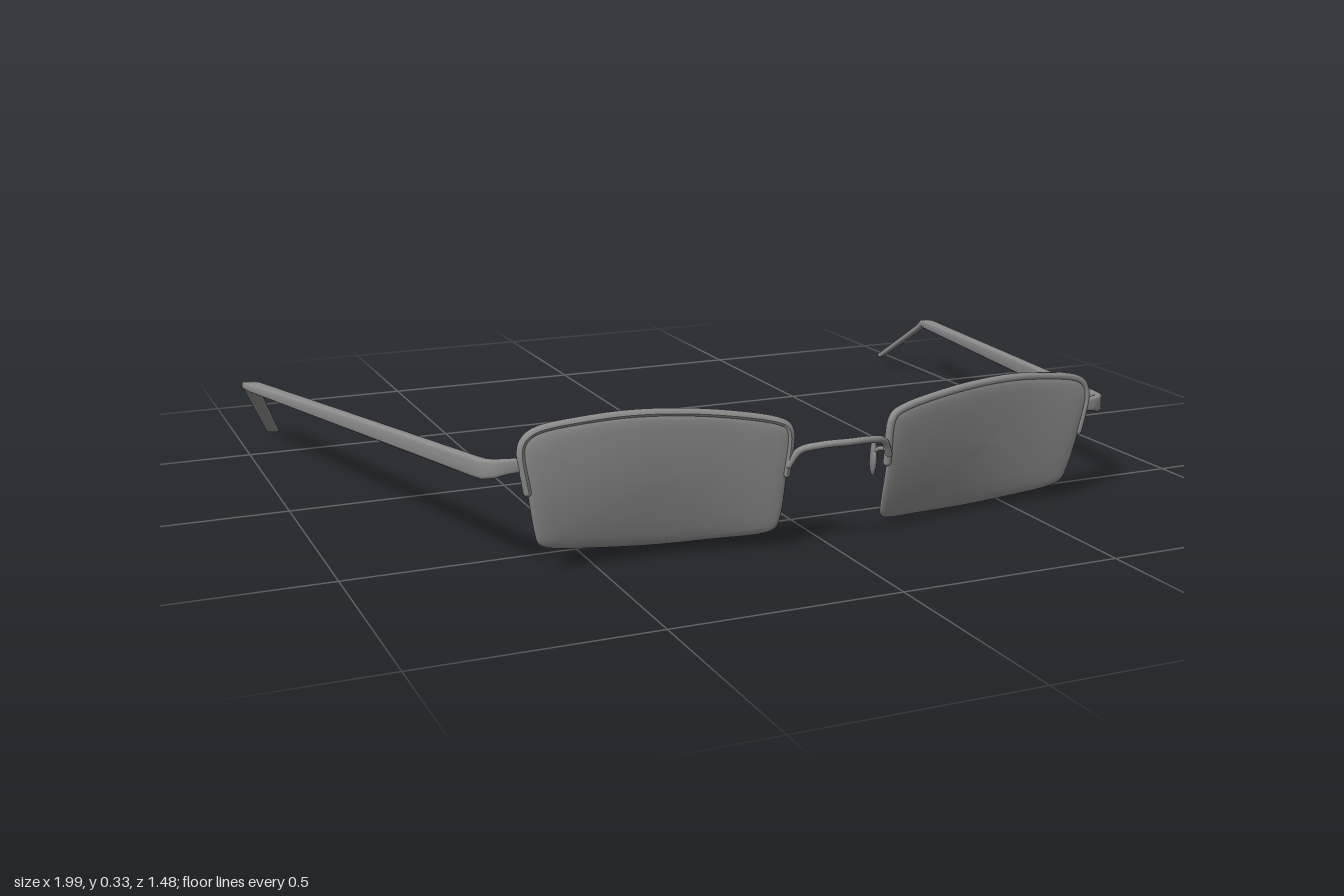
import * as THREE from 'three';
import { mergeGeometries } from 'three/addons/utils/BufferGeometryUtils.js';

const V = (x, y, z) => new THREE.Vector3(x, y, z);
const darkGrey = new THREE.MeshStandardMaterial({ color: 0x8c8c8c });

// Skin a list of equal-length closed rings, counter-clockwise about the sweep direction
function loft(rings) {
  const n = rings[0].length, pos = [], index = [];
  rings.forEach((ring) => ring.forEach((p) => pos.push(p.x, p.y, p.z)));
  for (let i = 0; i < rings.length - 1; i++) {
    for (let j = 0; j < n; j++) {
      const k = (j + 1) % n;
      const a = i * n + j, b = i * n + k, c = a + n, d = b + n;
      index.push(a, b, c, b, d, c);
    }
  }
  const g = new THREE.BufferGeometry();
  g.setAttribute('position', new THREE.Float32BufferAttribute(pos, 3));
  g.setIndex(index);
  g.computeVertexNormals();
  return g;
}

// Mirror across x = 0, keeping faces outward
function mirrored(geometry) {
  const g = geometry.clone().scale(-1, 1, 1);
  const idx = g.index.array;
  for (let i = 0; i < idx.length; i += 3) [idx[i], idx[i + 1]] = [idx[i + 1], idx[i]];
  g.computeVertexNormals();
  return g;
}

// Round wire with closed ends
function wire(points, radius, segments) {
  const curve = new THREE.CatmullRomCurve3(points);
  const ends = [points[0], points[points.length - 1]].map((p) =>
    new THREE.SphereGeometry(radius, 10, 8).translate(p.x, p.y, p.z));
  return mergeGeometries([new THREE.TubeGeometry(curve, segments, radius, 10), ...ends]);
}

// Sweep a soft-cornered bar; stations are [point, halfWidth, halfHeight]
function bar(stations) {
  const rings = stations.map(([p, hw, hh], i) => {
    const prev = stations[Math.max(i - 1, 0)][0];
    const next = stations[Math.min(i + 1, stations.length - 1)][0];
    const dir = next.clone().sub(p).normalize().add(p.clone().sub(prev).normalize()).normalize();
    const side = V(0, 1, 0).cross(dir).normalize();
    const up = dir.clone().cross(side);
    return Array.from({ length: 16 }, (_, j) => {
      const a = (j / 16) * Math.PI * 2, c = Math.cos(a), s = Math.sin(a);
      return p.clone()
        .addScaledVector(side, hw * Math.sign(c) * Math.sqrt(Math.abs(c)))
        .addScaledVector(up, hh * Math.sign(s) * Math.sqrt(Math.abs(s)));
    });
  });
  const cap = (p) => Array.from({ length: 16 }, () => p.clone());
  return loft([cap(stations[0][0]), ...rings, cap(stations[stations.length - 1][0])]);
}

// Lens outline, starting halfway up the outer side and running over the top
const outline = new THREE.CatmullRomCurve3([
  [0.66, 0.17], [0.674, 0.256], [0.667, 0.277], [0.645, 0.294], [0.54, 0.312],
  [0.43, 0.319], [0.29, 0.311], [0.15, 0.287], [0.127, 0.276], [0.119, 0.259],
  [0.12, 0.17], [0.122, 0.062], [0.128, 0.043], [0.148, 0.032], [0.25, 0.022],
  [0.37, 0.018], [0.5, 0.027], [0.61, 0.043], [0.632, 0.055], [0.641, 0.077],
].map(([x, y]) => V(x, y, 0)), true);

// Depth of the wrapped, tilted lens surface
function lensDepth(x, y) {
  const u = THREE.MathUtils.clamp((x - 0.12) / 0.555, 0, 1);
  const t = THREE.MathUtils.clamp((y - 0.018) / 0.301, 0, 1);
  const tilt = 0.05 * (1 - u) + 0.02 * u + 0.036 * Math.sin(Math.PI * Math.pow(u, 0.85));
  return 0.698 - 0.083 * u - tilt * (1 - t) + 0.04 * t * (1 - t);
}

// Pillow-edged lens, built from shrinking copies of the outline
function lensGeometry() {
  const edge = outline.getPoints(120).slice(0, -1);
  const half = [
    [0, 0.011], [0.2, 0.011], [0.4, 0.011], [0.6, 0.011], [0.8, 0.0105],
    [0.9, 0.0095], [0.96, 0.0075], [0.99, 0.0045], [1, 0.0015],
  ];
  const profile = [...half.map(([s, d]) => [s, -d]), ...half.slice().reverse()];
  return loft(profile.map(([s, d]) => edge.map((p) => {
    const x = 0.395 + (p.x - 0.395) * s, y = 0.17 + (p.y - 0.17) * s;
    return V(x, y, lensDepth(x, y) + d);
  })));
}

// Half rim following the upper part of the lens edge
function rimGeometry() {
  const pts = Array.from({ length: 61 }, (_, i) => {
    const p = outline.getPoint((i / 60) * 0.5);
    return V(p.x, p.y, lensDepth(p.x, p.y));
  });
  return wire(pts, 0.009, 120);
}

function nosePadGeometry() {
  const pad = new THREE.SphereGeometry(1, 20, 14).scale(0.008, 0.045, 0.034);
  return pad.rotateX(0.45).rotateY(-0.42).translate(0.121, 0.165, 0.624);
}

export function createModel() {
  const model = new THREE.Group();
  const front = new THREE.Group();
  front.name = 'frontFrame';
  front.rotation.set(0, 0.02, -0.017);
  model.add(front);
  const add = (parent, name, geometry) => {
    const mesh = new THREE.Mesh(geometry, darkGrey);
    mesh.name = name;
    parent.add(mesh);
  };

  // Paired front parts
  const padArm = wire([V(0.118, 0.2, 0.688), V(0.111, 0.197, 0.668), V(0.11, 0.187, 0.65), V(0.115, 0.172, 0.635)], 0.005, 20);
  const parts = { Lens: lensGeometry(), HalfRim: rimGeometry(), NosePad: nosePadGeometry(), PadArm: padArm };
  for (const [name, geometry] of Object.entries(parts)) {
    add(front, 'left' + name, geometry);
    add(front, 'right' + name, mirrored(geometry));
  }

  // Bridge
  const arch = [V(0.119, 0.19, 0.69), V(0.1, 0.222, 0.702), V(0.06, 0.235, 0.722)];
  const archMirror = arch.map((p) => V(-p.x, p.y, p.z)).reverse();
  add(front, 'bridge', wire([...arch, V(0, 0.238, 0.732), ...archMirror], 0.008, 60));

  // Temples with hinge corner, long arm and bent ear tip
  const temples = [
    { name: 'leftTemple', s: 1, dy: -0.011, dz: -0.014, bend: V(0.975, 0.158, -0.59), tip: V(0.914, 0.037, -0.737) },
    { name: 'rightTemple', s: -1, dy: 0.009, dz: 0.014, bend: V(-0.979, 0.164, -0.57), tip: V(-0.907, 0.008, -0.698) },
  ];
  for (const { name, s, dy, dz, bend, tip } of temples) {
    const at = (x, y, z) => V(s * x + 0.014, y + dy, z + dz);
    const corner = at(0.746, 0.219, 0.55);
    add(model, name, bar([
      [at(0.66, 0.23, 0.614), 0.009, 0.013],
      [at(0.7, 0.228, 0.607), 0.009, 0.016],
      [at(0.722, 0.224, 0.598), 0.01, 0.019],
      [at(0.737, 0.221, 0.58), 0.011, 0.021],
      [corner, 0.011, 0.021],
      [corner.clone().lerp(bend, 0.5), 0.013, 0.017],
      [corner.clone().lerp(bend, 0.97), 0.018, 0.012],
      [bend, 0.019, 0.01],
      [bend.clone().lerp(tip, 0.1), 0.019, 0.007],
      [tip, 0.016, 0.006],
    ]));
  }
  return model;
}
